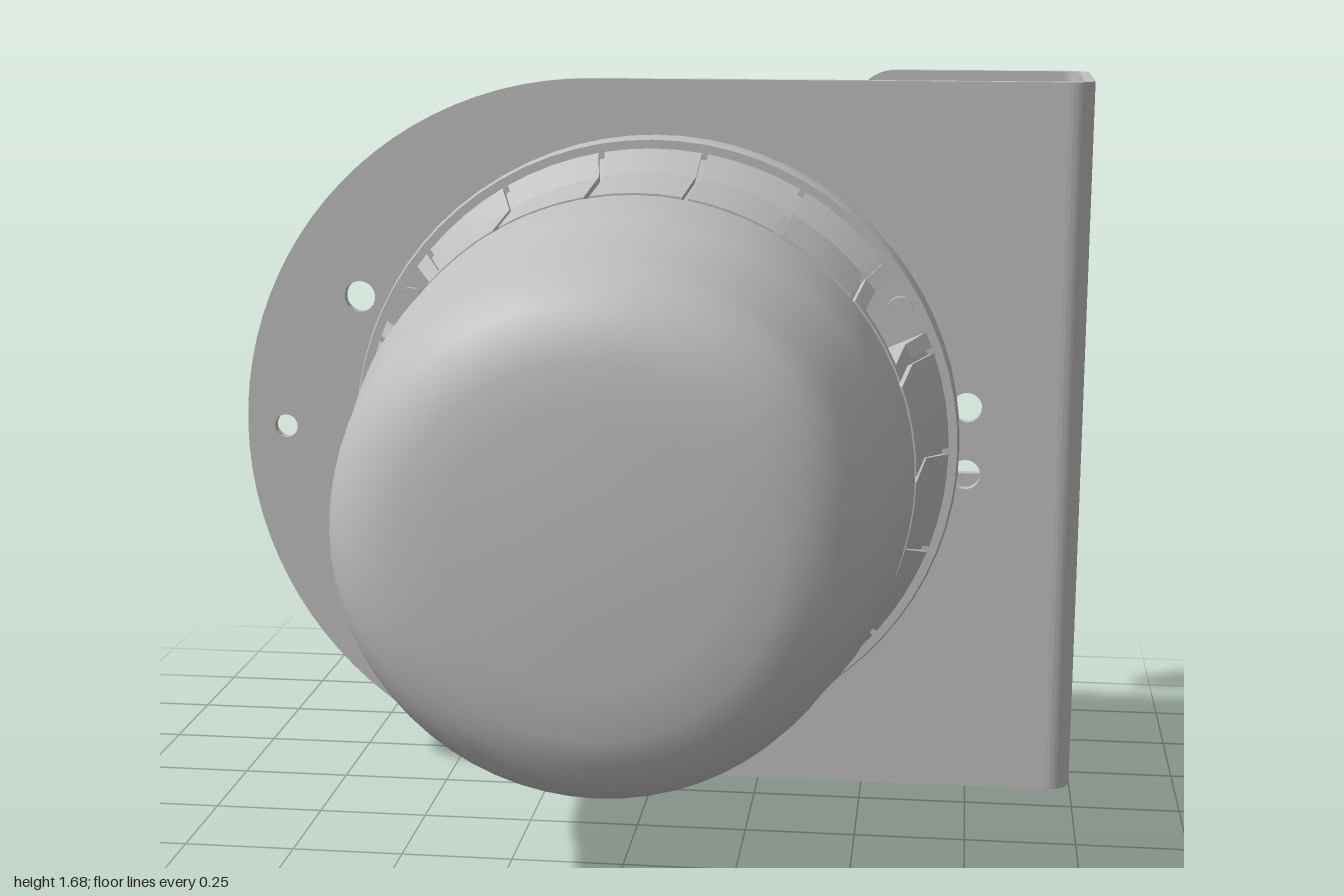
import * as THREE from 'three';
import { mergeGeometries, toCreasedNormals } from 'three/addons/utils/BufferGeometryUtils.js';

const grey = new THREE.MeshStandardMaterial({ color: 0xbfbfbf, side: THREE.DoubleSide });
grey.name = 'satin grey';

const MID = 0.8425;   // height of the lamp axis and bracket centreline
const T = 0.025;      // sheet metal thickness
const rad = THREE.MathUtils.degToRad;
const vec = (p) => p.map(([x, y]) => new THREE.Vector2(x, y));

function mesh(name, geometry, parent) {
  const m = new THREE.Mesh(toCreasedNormals(geometry, 0.5), grey);
  m.name = name;
  parent.add(m);
  return m;
}

// Closed [radius, axis] profile swept from angle a to b (degrees), with end caps
function sector(profile, a, b, steps) {
  const body = new THREE.LatheGeometry(vec([...profile, profile[0]]), steps, rad(a), rad(b - a)).toNonIndexed();
  const caps = [a, b].map((d) =>
    new THREE.ShapeGeometry(new THREE.Shape(vec(profile))).rotateY(rad(d) - Math.PI / 2).toNonIndexed());
  return mergeGeometries([body, ...caps]);
}

function addHoles(shape, list) {
  for (const [x, y, r] of list) {
    const h = new THREE.Path();
    h.absarc(x, y, r, 0, Math.PI * 2, true);
    shape.holes.push(h);
  }
}

const sheet = (shape, depth) =>
  new THREE.ExtrudeGeometry(shape, { depth, bevelEnabled: false, curveSegments: 24 });

function buildBracket() {
  const g = new THREE.Group();
  g.name = 'bracket';
  const H = 2 * MID, P = Math.PI;

  // Mounting plate with one round end
  const plate = new THREE.Shape();
  plate.moveTo(0.94, 0);
  plate.lineTo(0.94, H);
  plate.lineTo(-0.1575, H);
  plate.absarc(-0.1575, MID, MID, P / 2, P * 1.5, false);
  addHoles(plate, [
    [-0.152, 0.845, 0.255],
    [-0.715, 1.165, 0.037], [-0.905, 0.845, 0.028],
    [0.73, 0.93, 0.035], [0.73, 0.77, 0.035],
    [0.232, 1.48, 0.03], [0.42, 1.156, 0.037], [-0.152, 1.266, 0.027],
    [0.232, 0.185, 0.03], [-0.152, 0.189, 0.04],
  ]);
  mesh('mountingPlate', sheet(plate, T), g).position.z = -0.365 - T;

  // Side web with both bends, drawn in plan and extruded upwards
  const web = new THREE.Shape();
  web.moveTo(0.94, 0.365);
  web.absarc(0.94, 0.425, 0.06, -P / 2, 0, false);
  web.absarc(0.94, 0.74, 0.06, 0, P / 2, false);
  web.lineTo(0.94, 0.775);
  web.absarc(0.94, 0.74, 0.035, P / 2, 0, true);
  web.absarc(0.94, 0.425, 0.035, 0, -P / 2, true);
  mesh('sideWeb', sheet(web, H).rotateX(-P / 2), g);

  // Rear flange with a round-bottomed notch and rounded corners
  const E = 0.435, R = 0.1, N = 0.16, M = 0.13;
  const flange = new THREE.Shape();
  flange.moveTo(0.94, H);
  flange.lineTo(E + R, H);
  flange.absarc(E + R, H - R, R, P / 2, P, false);
  flange.absarc(E + M, MID + N + M, M, P, P * 1.5, false);
  flange.absarc(0.76, MID, N, P / 2, -P / 2, true);
  flange.absarc(E + M, MID - N - M, M, P / 2, P, false);
  flange.absarc(E + R, R, R, P, P * 1.5, false);
  flange.lineTo(0.94, 0);
  addHoles(flange, [[0.582, 1.585, 0.05], [0.735, 1.18, 0.048], [0.735, 0.482, 0.048]]);
  mesh('rearFlange', sheet(flange, T), g).position.z = -0.8;
  return g;
}

function buildLamp() {
  const g = new THREE.Group();
  g.name = 'lamp';
  g.position.y = MID;
  g.rotation.x = Math.PI / 2;   // lathe axis points forward; angle 0 is straight down

  // Domed cover with a shallow step part way along
  mesh('domeCover', new THREE.LatheGeometry(vec([
    [0.58, 0.042], [0.619, 0.042], [0.612, 0.18], [0.605, 0.28], [0.598, 0.31], [0.584, 0.37],
    [0.568, 0.5], [0.553, 0.6], [0.541, 0.66], [0.52, 0.7], [0.487, 0.736], [0.44, 0.764],
    [0.38, 0.782], [0.28, 0.79], [0.14, 0.796], [0, 0.8],
  ]), 64), g);

  // Base ring and the inner wall seen through the windows
  mesh('baseRing', new THREE.LatheGeometry(vec([
    [0, -0.363], [0.715, -0.363], [0.715, -0.3], [0.71, -0.285], [0.57, -0.285],
  ]), 72), g);
  mesh('innerWall', new THREE.LatheGeometry(vec([
    [0.575, -0.285], [0.575, 0.03], [0.6, 0.03], [0.6, 0.045],
  ]), 72), g);

  // Collar: 18 panels parted by grooves; every sixth has a window
  const panel = [[0.57, -0.285], [0.69, -0.285], [0.64, -0.23], [0.622, 0.03], [0.57, 0.03]];
  const groove = [[0.57, -0.285], [0.675, -0.285], [0.626, -0.225], [0.609, 0.03], [0.57, 0.03]];
  const rim = [[0.57, 0.005], [0.624, 0.005], [0.622, 0.03], [0.57, 0.03]];
  for (let k = 0; k < 18; k++) {
    const c = k * 20, e = 9.4, w = 6.3;
    mesh('collarGroove', sector(groove, c + e, c + 20 - e, 1), g);
    if (k % 6) {
      mesh('collarPanel', sector(panel, c - e, c + e, 4), g);
      continue;
    }
    mesh('windowSide', sector(panel, c - e, c - w, 1), g);
    mesh('windowSide', sector(panel, c + w, c + e, 1), g);
    mesh('windowRim', sector(rim, c - w, c + w, 3), g);
    // Fixing screw on the base ring inside the window
    const screw = mesh('fixingScrew', new THREE.CylinderGeometry(0.03, 0.03, 0.02, 16), g);
    screw.position.set(0.66 * Math.sin(rad(c)), -0.277, 0.66 * Math.cos(rad(c)));
  }
  return g;
}

export function createModel() {
  const model = new THREE.Group();
  model.name = 'wallLamp';
  model.add(buildBracket(), buildLamp());
  return model;
}
